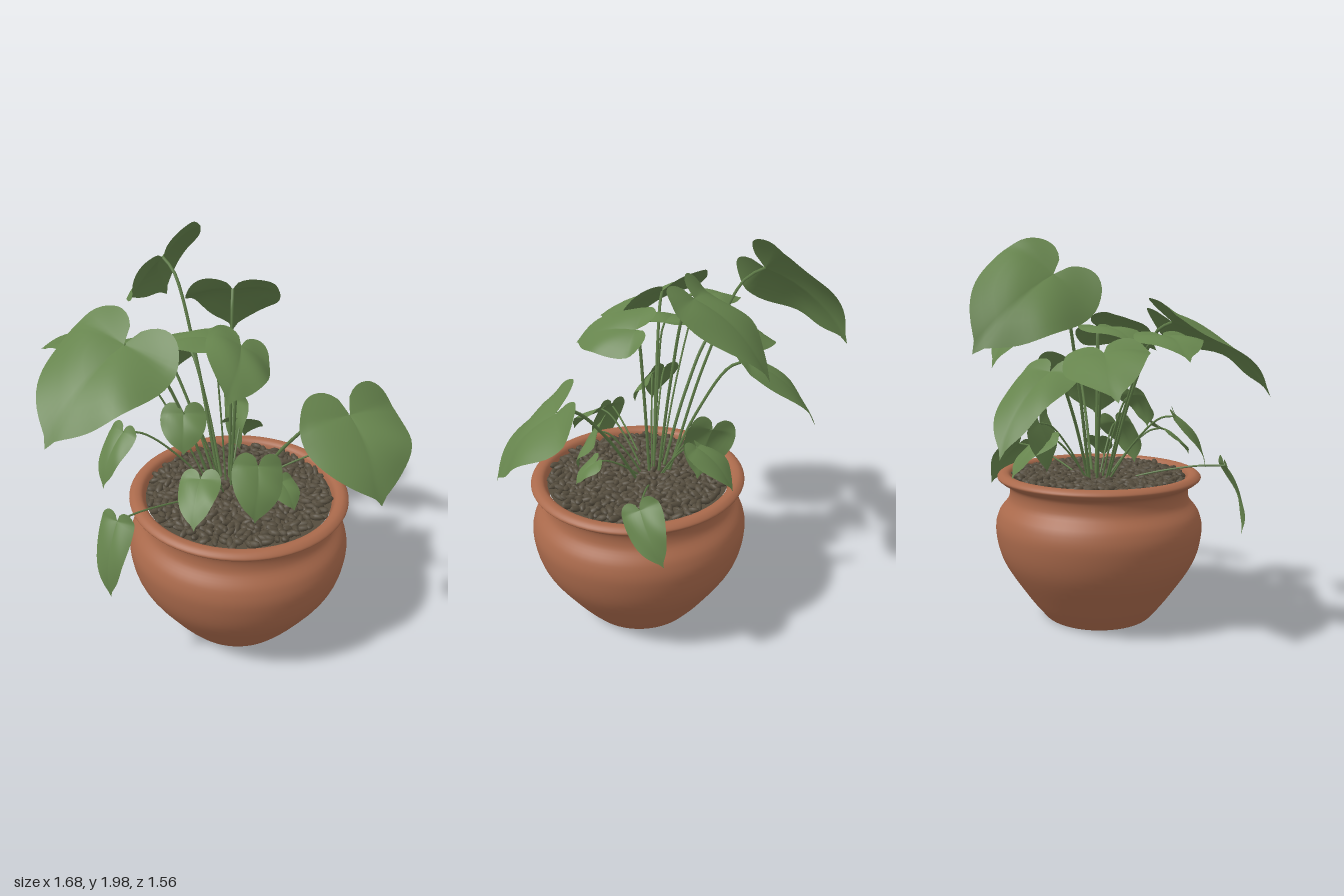
import * as THREE from 'three';
import { mergeGeometries } from 'three/addons/utils/BufferGeometryUtils.js';

const V = (x, y, z) => new THREE.Vector3(x, y, z);
const CENTRE = V(0.11, 0, 0.22);

// Small seeded random
let seed = 7;
const rand = () => {
  seed = (seed * 16807) % 2147483647;
  return seed / 2147483647;
};

// Heart outline: notch at t = 0, pointed tip at t = PI
function heart(t) {
  const lobe = 0.46 * Math.sqrt(Math.abs(Math.sin(t))) * (0.76 + 0.24 * Math.cos(t));
  return { s: 0.5 * Math.sin(t), l: 0.5 * (1 - Math.cos(t)) - lobe };
}

// Blade made of rings growing from the stalk joint out to the outline
function bladeGeometry(base, tip, width, roll) {
  const along = tip.clone().sub(base);
  const len = along.length();
  along.normalize();
  const up = along.clone().cross(V(0, 1, 0)).normalize().cross(along).applyAxisAngle(along, roll);
  const side = along.clone().cross(up);
  const rings = 7, n = 56;
  const pos = [], idx = [];
  for (let k = 0; k <= rings; k++) {
    for (let j = 0; j <= n; j++) {
      const edge = heart((j / n) * Math.PI * 2);
      const s = edge.s * k / rings, l = edge.l * k / rings;
      const arch = 0.42 * Math.max(l, 0) * (1 - l) * len;
      const fold = (0.14 * Math.abs(s) - 0.5 * s * s) * width;
      const wave = 0.08 * width * Math.sin(l * 7 + s * 5) * Math.abs(s);
      const p = base.clone()
        .addScaledVector(side, s * width)
        .addScaledVector(along, l * (l < 0 ? width : len))
        .addScaledVector(up, arch + fold + wave);
      pos.push(p.x, p.y, p.z);
      if (k < rings && j < n) {
        const a = k * (n + 1) + j, b = a + n + 1;
        idx.push(a, b, b + 1);
        if (k > 0) idx.push(a, b + 1, a + 1);
      }
    }
  }
  const g = new THREE.BufferGeometry();
  g.setAttribute('position', new THREE.Float32BufferAttribute(pos, 3));
  g.setIndex(idx);
  g.computeVertexNormals();
  return g;
}

// Arching stalk from the soil to the blade joint
function stalkGeometry(base, thick) {
  const soil = 0.76, rise = base.y - soil;
  const root = V(0.07 + (base.x - 0.07) * 0.16, soil, 0.16 + (base.z - 0.16) * 0.16);
  const between = (t, height) => root.clone().lerp(base, t).setY(soil + rise * height);
  const path = new THREE.CatmullRomCurve3([root, between(0.4, 0.58), between(0.78, 0.95), base]);
  return new THREE.TubeGeometry(path, 20, thick, 6);
}

export function createModel() {
  const group = new THREE.Group();
  const material = (name, color, side = THREE.FrontSide) => {
    const m = new THREE.MeshStandardMaterial({ color, side });
    m.name = name;
    return m;
  };
  const clay = material('terracotta', 0xa9694b);
  const leafGreen = material('leafGreen', 0x66844d, THREE.DoubleSide);
  const stalkGreen = material('stalkGreen', 0x5f7c48);
  const stone = material('stoneBrown', 0x544c3d);
  const add = (name, geometry, mat, parent = group) => {
    const mesh = new THREE.Mesh(geometry, mat);
    mesh.name = name;
    parent.add(mesh);
    return mesh;
  };

  // Pot: rounded belly, tucked neck and rolled rim
  const profile = new THREE.SplineCurve([
    [0.3, 0.008], [0.39, 0.12], [0.52, 0.32], [0.56, 0.48], [0.543, 0.58], [0.49, 0.655],
    [0.488, 0.725], [0.53, 0.755], [0.55, 0.778], [0.52, 0.8], [0.48, 0.785], [0.46, 0.7],
  ].map(([r, y]) => new THREE.Vector2(r, y))).getPoints(60);
  const foot = [new THREE.Vector2(0, 0), new THREE.Vector2(0.29, 0), profile[0]];
  add('pot', new THREE.LatheGeometry(profile, 64), clay).position.copy(CENTRE);
  add('potBase', new THREE.LatheGeometry(foot, 64), clay).position.copy(CENTRE);

  // Soil bed covered with long pebbles
  const bed = new THREE.CircleGeometry(0.468, 48).rotateX(-Math.PI / 2);
  add('soil', bed, stone).position.set(CENTRE.x, 0.765, CENTRE.z);
  const pebbles = [];
  const count = 520;
  for (let i = 0; i < count; i++) {
    const r = 0.45 * Math.sqrt((i + 0.5) / count), a = i * 2.39996 + 0.06 * rand();
    const g = new THREE.SphereGeometry(1, 7, 5);
    g.scale(0.028 + 0.012 * rand(), 0.013 + 0.005 * rand(), 0.014 + 0.006 * rand());
    g.rotateZ((rand() - 0.5) * 0.9);
    g.rotateY(rand() * Math.PI);
    g.translate(CENTRE.x + r * Math.cos(a), 0.773 + 0.014 * rand(), CENTRE.z + r * Math.sin(a));
    pebbles.push(g);
  }
  add('pebbles', mergeGeometries(pebbles), stone);

  // One leaf with its stalk; roll tips the blade about its midrib
  const leaf = (name, joint, tip, width, roll = 0) => {
    const part = new THREE.Group();
    part.name = name;
    const base = V(...joint);
    add('blade', bladeGeometry(base, V(...tip), width, roll), leafGreen, part);
    add('stalk', stalkGeometry(base, width > 0.3 ? 0.008 : 0.005), stalkGreen, part);
    group.add(part);
  };

  // Large upper leaves
  leaf('backTopLeaf', [-0.2, 1.815, -0.36], [-0.16, 1.47, -0.78], 0.52, -0.78);
  leaf('backLeaf', [0.11, 1.74, -0.07], [0.17, 1.38, -0.44], 0.46);
  leaf('backRightLeaf', [-0.29, 1.46, -0.13], [-0.64, 1.27, -0.38], 0.41, 0.25);
  leaf('backLowerLeaf', [-0.1, 1.37, -0.3], [-0.18, 1, -0.66], 0.34);
  leaf('rightLeaf', [-0.54, 1.54, 0], [-0.83, 1.44, -0.15], 0.29);
  leaf('rightFrontLeaf', [-0.42, 1.6, 0.2], [-0.79, 1.25, 0.49], 0.6, -0.2);
  leaf('leftFrontLeaf', [0.57, 1.32, 0.47], [0.67, 1, 0.74], 0.54);
  leaf('frontTopLeaf', [0.11, 1.57, 0.21], [0, 1.44, 0.55], 0.33, -0.5);
  leaf('middleLeaf', [-0.02, 1.57, 0.1], [-0.33, 1.48, 0.06], 0.26);

  // Small lower leaves
  leaf('innerLeaf', [-0.16, 1.23, 0.2], [-0.17, 1.06, 0.3], 0.22);
  leaf('frontHeartLeaf', [0.17, 1.04, 0.41], [0.14, 0.8, 0.53], 0.25, -0.3);
  leaf('frontLowLeaf', [-0.11, 1.03, 0.47], [-0.16, 0.87, 0.65], 0.2, 0.2);
  leaf('hangingLeaf', [-0.5, 0.87, 0.53], [-0.55, 0.5, 0.62], 0.19, 0.2);
  leaf('rightSmallLeaf', [-0.45, 1.15, 0.2], [-0.56, 0.9, 0.3], 0.18, 0.1);
  leaf('leftSmallLeaf', [0.63, 0.9, 0.08], [0.73, 0.67, -0.05], 0.2, 0.93);
  leaf('backInnerLeaf', [0.14, 1.09, -0.17], [0.17, 0.82, -0.1], 0.25, 1.6);
  leaf('backLowLeaf', [0.17, 1, -0.1], [0.22, 0.8, -0.29], 0.22);
  leaf('frontTinyLeaf', [0.29, 0.93, 0.39], [0.34, 0.82, 0.48], 0.15);
  return group;
}
